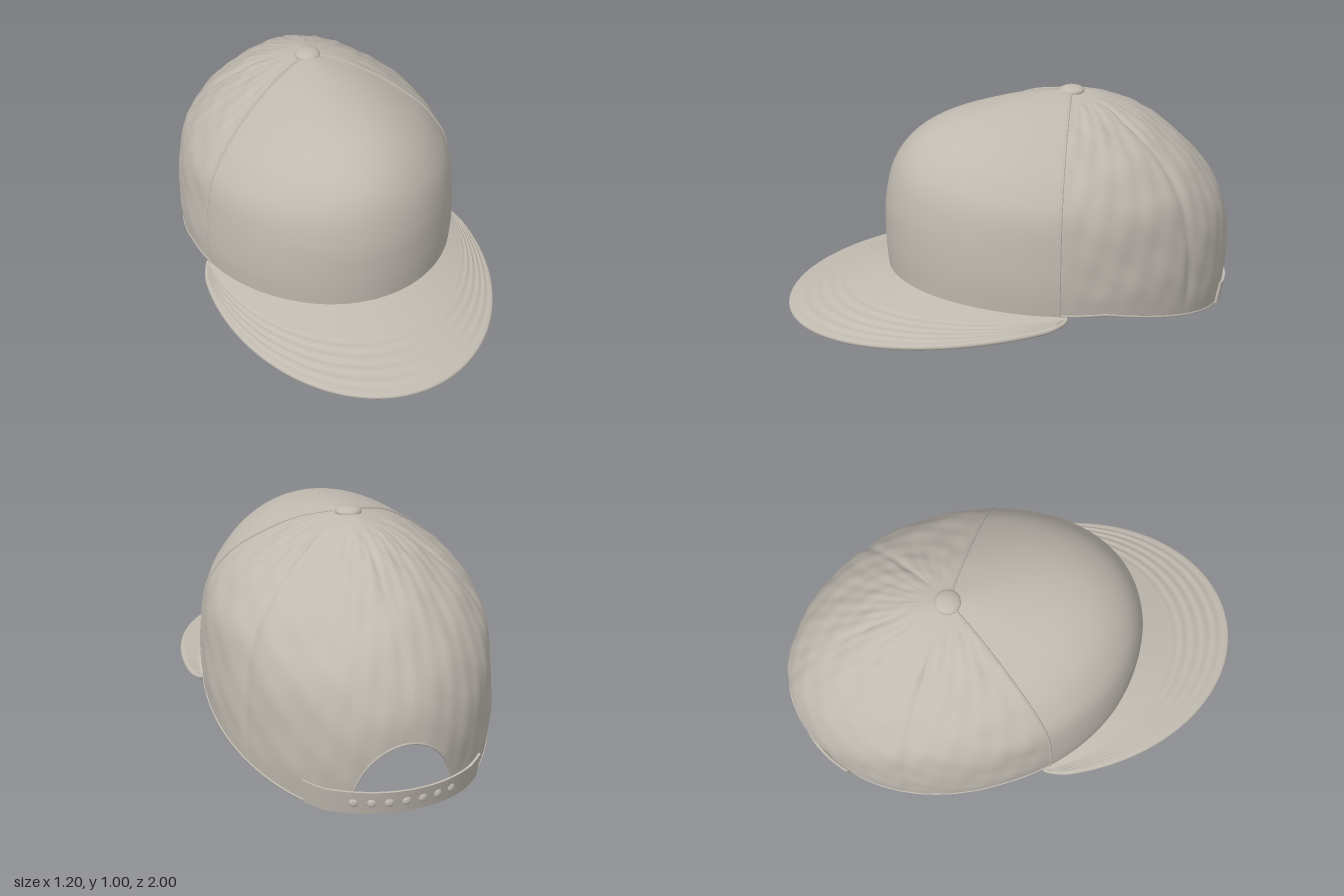
import * as THREE from 'three';
import { toCreasedNormals } from 'three/addons/utils/BufferGeometryUtils.js';

const { lerp, smoothstep } = THREE.MathUtils;
const TOP = 0.985, APEX_Z = -0.26, DEG = Math.PI / 180;
const ARCH_W = 0.21, ARCH_H = 0.3;
const FRONT_SEAM = 70.8 * DEG, SIDE_SEAM = 118 * DEG;
const ARCH_A = Math.asin(ARCH_W / 0.585);

// Crown meridians: fraction of the plan radius against fraction of the height
const meridian = (pts) =>
  new THREE.SplineCurve(pts.map(([f, h]) => new THREE.Vector2(f, h))).getSpacedPoints(100);
const FRONT = meridian([[0, 1], [0.3, 0.98], [0.62, 0.923], [0.82, 0.818], [0.94, 0.657], [0.993, 0.434], [1, 0.2], [0.99, 0]]);
const SIDE = meridian([[0, 1], [0.34, 0.93], [0.69, 0.764], [0.86, 0.63], [0.95, 0.5], [0.99, 0.28], [1, 0.13], [0.99, 0]]);
const BACK = meridian([[0, 1], [0.2, 0.97], [0.46, 0.883], [0.73, 0.72], [0.89, 0.57], [0.975, 0.43], [1, 0.3], [0.985, 0.12], [0.95, 0]]);

function sample(list, t) {
  const i = Math.min(Math.floor(t * 100), 99);
  return list[i].clone().lerp(list[i + 1], t * 100 - i);
}

// Plan outline of the crown; angle 0 is the front, +90 degrees is +x
function plan(a) {
  const c = Math.cos(a);
  return { x: 0.585 * Math.sin(a), z: -0.2 + c * (c > 0 ? 0.76 : 0.795) };
}

function hemY(z) {
  if (z > -0.15) return lerp(0.205, 0.272, (z + 0.15) / 0.71);
  return Math.max(0.006, 0.205 + (z + 0.15) * 0.271);
}

// Point of the crown at angle a, t = 0 at the apex and 1 at the hem
function crown(a, t, offset = 0) {
  const p = plan(a), c = Math.cos(a), w = c * c;
  const q = sample(SIDE, t).lerp(sample(c > 0 ? FRONT : BACK, t), w);
  const dz = p.z - APEX_Z, f = q.x + offset / Math.hypot(p.x, dz);
  const y0 = hemY(p.z);
  return new THREE.Vector3(p.x * f, y0 + (TOP - y0) * q.y, APEX_Z + dz * f);
}

function tAtHeight(a, y) {
  let lo = 0.2, hi = 1;
  for (let i = 0; i < 22; i++) {
    const mid = (lo + hi) / 2;
    if (crown(a, mid).y > y) lo = mid; else hi = mid;
  }
  return (lo + hi) / 2;
}

// Lowest t of a column, shortened over the rear opening
function tHem(a) {
  const off = Math.abs(a - Math.PI);
  if (off >= ARCH_A - 1e-6) return 1;
  const k = 0.585 * Math.sin(off) / ARCH_W;
  return tAtHeight(a, ARCH_H * Math.sqrt(Math.max(0, 1 - k * k)));
}

// Soft cloth wrinkles and sunken seams of the rear panels
function cloth(a, t) {
  const b = a > Math.PI ? 2 * Math.PI - a : a;
  const fade = smoothstep(t, 0.05, 0.3) * smoothstep(1 - t, 0, 0.1) * smoothstep(b, FRONT_SEAM, FRONT_SEAM + 0.12);
  const wave = Math.sin(13 * a + 9 * t) * Math.sin(21 * t - 5 * a) + 0.7 * Math.sin(29 * a - 17 * t) * Math.sin(37 * t + 11 * a);
  const groove = Math.exp(-(((b - SIDE_SEAM) / 0.035) ** 2)) + 0.5 * Math.exp(-(((b - Math.PI) / 0.03) ** 2));
  return fade * (0.0028 * wave - 0.007 * groove);
}

// Surface from a grid of points
function surface(us, vs, fn) {
  const pos = [], idx = [], n = vs.length;
  us.forEach((u, i) => vs.forEach((v, j) => {
    pos.push(...fn(u, v).toArray());
    if (i && j) {
      const a = (i - 1) * n + j - 1, c = i * n + j - 1;
      idx.push(a, a + 1, c, c, a + 1, c + 1);
    }
  }));
  const g = new THREE.BufferGeometry();
  g.setAttribute('position', new THREE.Float32BufferAttribute(pos, 3));
  g.setIndex(idx);
  g.computeVertexNormals();
  return g;
}

const range = (a, b, n) => Array.from({ length: n + 1 }, (_, i) => lerp(a, b, i / n));

export function createModel() {
  const model = new THREE.Group();
  model.name = 'cap';
  const fabric = new THREE.MeshStandardMaterial({ color: 0xc0bab0, side: THREE.DoubleSide });
  fabric.name = 'warm grey fabric';
  const add = (name, geometry, parent = model) => {
    const mesh = new THREE.Mesh(geometry, fabric);
    mesh.name = name;
    parent.add(mesh);
    return mesh;
  };
  const tube = (name, pts, r) =>
    add(name, new THREE.TubeGeometry(new THREE.CatmullRomCurve3(pts), pts.length * 2, r, 6));

  // Crown: smooth front panel and wrinkled rear panels with the opening
  add('frontPanel', surface(range(-FRONT_SEAM, FRONT_SEAM, 60), range(0, 1, 50), (a, t) => crown(a, t, 0.003 * t)));
  const arch = range(0, Math.PI, 36).map((k) => Math.PI - ARCH_A * Math.cos(k));
  const rear = [
    ...range(FRONT_SEAM, Math.PI - ARCH_A, 80).slice(0, -1), ...arch,
    ...range(Math.PI + ARCH_A, 2 * Math.PI - FRONT_SEAM, 80).slice(1),
  ];
  add('rearPanels', surface(rear, range(0, 1, 80), (a, s) => {
    const t = s * tHem(a), d = cloth(a, t);
    const p = crown(a, t, d);
    p.y += d * (1 - t);
    return p;
  }));

  // Seams, hem piping and opening trim
  for (const s of [1, -1]) {
    tube('frontSeam', range(0.04, 1, 40).map((t) => crown(s * FRONT_SEAM, t, 0.001)), 0.006);
    tube('rearHem', range(FRONT_SEAM, Math.PI - ARCH_A, 30).map((a) => crown(s * a, 1)), 0.005);
  }
  tube('openingTrim', arch.map((a) => crown(a, tHem(a))), 0.005);

  // Inner sweatband
  const bandEnd = Math.PI - ARCH_A - 0.02;
  add('sweatband', surface(range(-bandEnd, bandEnd, 100), range(0.86, 1, 6), (a, t) => crown(a, t, -0.014)));

  // Button on the apex
  const button = add('topButton', new THREE.SphereGeometry(0.054, 28, 16));
  button.scale.y = 0.42;
  button.position.set(0, 0.977, APEX_Z);

  // Brim: section runs out over the top, round the lip and back below
  const lip = 0.011;
  const brimPoint = (u, v) => {
    const k = Math.abs(u);
    const inner = plan(u * 73 * DEG);
    inner.x *= 0.985;
    inner.z = APEX_Z + (inner.z - APEX_Z) * 0.985;
    const ao = u * 102 * DEG;
    const reach = k > 0.93 ? Math.sqrt(Math.max(0, 1 - ((k - 0.93) / 0.07) ** 2)) : 1;
    const ox = 0.59 * Math.sin(ao), oz = 0.2 + 0.789 * Math.cos(ao);
    const top = v <= 1, round = v > 1 && v < 2;
    const s = (top ? v : round ? 1 : 3 - v) * reach;
    const p = new THREE.Vector3(lerp(inner.x, ox, s), 0, lerp(inner.z, oz, s));
    const yIn = lerp(0.27, 0.208, k * k), yOut = 0.171 + 0.02 * (ox / 0.6) ** 2;
    p.y = lerp(yIn, yOut, s);
    if (top) {
      const rows = smoothstep(s, 0.35, 0.5) * smoothstep(1 - s, 0, 0.08);
      p.y += lip + 0.002 * rows * Math.sin(s * 52);
    } else if (round) {
      const b = (v - 1) * Math.PI;
      p.x += lip * Math.sin(b) * Math.sin(ao);
      p.z += lip * Math.sin(b) * Math.cos(ao);
      p.y += lip * Math.cos(b);
    } else p.y -= lip;
    return p;
  };
  const ends = range(0, Math.PI / 2, 10).map((b) => 0.93 + 0.07 * Math.sin(b));
  const brimU = [...ends.map((e) => -e).reverse(), ...range(-0.93, 0.93, 80).slice(1, -1), ...ends];
  add('brim', surface(brimU, [...range(0, 1, 48), ...range(1, 2, 8).slice(1), ...range(2, 3, 10).slice(1)], brimPoint));

  // Rear strap following the hem
  const strap = new THREE.Group();
  strap.name = 'rearStrap';
  model.add(strap);
  const strapPoint = (a, h, off) => {
    const y = hemY(plan(a).z) + h;
    return crown(a, tAtHeight(a, y), off);
  };
  const corners = [[0.1, 0.014], [0, 0.014], [0, 0.003], [0.1, 0.003], [0.1, 0.014]];
  const half = 38 * DEG, body = range(Math.PI - half, Math.PI + half, 48);
  const columns = [{ a: body[0], cap: true }, ...body.map((a) => ({ a })), { a: body[48], cap: true }];
  add('strapBand', toCreasedNormals(surface(columns, [0, 1, 2, 3, 4], ({ a, cap }, j) =>
    cap ? strapPoint(a, 0.05, 0.0085) : strapPoint(a, ...corners[j])), 0.6), strap);

  // Row of snap studs
  for (let i = -3; i <= 3; i++) {
    const a = Math.PI + i * 0.115;
    const stud = add('strapStud', new THREE.SphereGeometry(0.018, 14, 10), strap);
    stud.position.copy(strapPoint(a, 0.052, 0.013));
    stud.rotation.y = a;
    stud.scale.z = 0.5;
  }
  return model;
}
